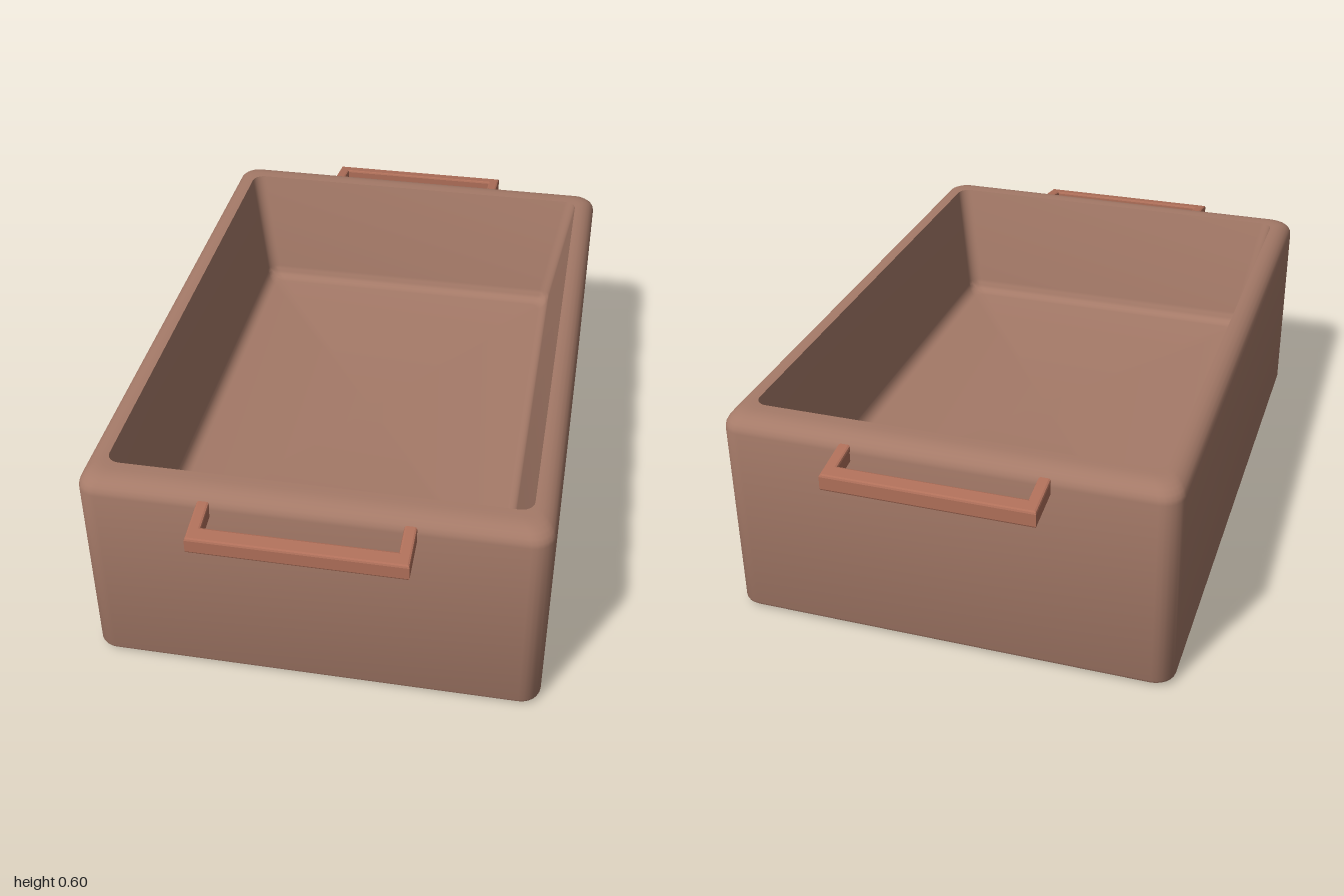
import * as THREE from 'three';
import { toCreasedNormals } from 'three/addons/utils/BufferGeometryUtils.js';

const CORNER_STEPS = 6;

// Outline of a rounded rectangle lying flat at height y
function ring({ hx, hz, r, y }) {
  const points = [];
  [[1, 1], [-1, 1], [-1, -1], [1, -1]].forEach(([sx, sz], q) => {
    for (let i = 0; i <= CORNER_STEPS; i++) {
      const a = (q + i / CORNER_STEPS) * Math.PI / 2;
      points.push([sx * (hx - r) + r * Math.cos(a), y, sz * (hz - r) + r * Math.sin(a)]);
    }
  });
  return points;
}

// Quarter-round run of sections between two sections; bulge 'out' first or 'up' first
function roundOver(from, to, upFirst, steps = 6) {
  return Array.from({ length: steps + 1 }, (_, i) => {
    const a = (i / steps) * Math.PI / 2;
    const s = Math.sin(a), c = 1 - Math.cos(a);
    const side = upFirst ? c : s, rise = upFirst ? s : c;
    const mix = (k, t) => from[k] + (to[k] - from[k]) * t;
    return { hx: mix('hx', side), hz: mix('hz', side), r: mix('r', side), y: mix('y', rise) };
  });
}

// Closed skin through the sections, capped at the underside and the inner floor
function loft(sections) {
  const rings = sections.map(ring);
  const n = rings[0].length, last = (rings.length - 1) * n;
  const points = rings.flat();
  const bottom = points.push([0, sections[0].y, 0]) - 1;
  const floor = points.push([0, sections.at(-1).y, 0]) - 1;
  const index = [];
  for (let j = 0; j < n; j++) {
    const k = (j + 1) % n;
    index.push(bottom, j, k, floor, last + k, last + j);
    for (let i = 0; i < last; i += n) {
      index.push(i + j, i + n + j, i + n + k, i + j, i + n + k, i + k);
    }
  }
  const geometry = new THREE.BufferGeometry();
  geometry.setAttribute('position', new THREE.Float32BufferAttribute(points.flat(), 3));
  geometry.setIndex(index);
  return toCreasedNormals(geometry, 0.6);
}

// Tub: rounded foot, straight sides, rounded rim, sloping inner walls, filleted floor
function createTub() {
  return loft([
    ...roundOver({ hx: 0.565, hz: 0.835, r: 0.03, y: 0 }, { hx: 0.61, hz: 0.885, r: 0.055, y: 0.02 }, false),
    ...roundOver({ hx: 0.61, hz: 0.885, r: 0.055, y: 0.56 }, { hx: 0.56, hz: 0.82, r: 0.04, y: 0.604 }, true),
    { hx: 0.55, hz: 0.795, r: 0.035, y: 0.604 },
    ...roundOver({ hx: 0.492, hz: 0.717, r: 0.035, y: 0.3 }, { hx: 0.46, hz: 0.68, r: 0.03, y: 0.26 }, true),
  ]);
}

// U-shaped handle with bevelled edges, drooping away from the tub
function createHandle() {
  const b = 0.006, outer = 0.28 - b, inner = 0.247 + b;
  const root = 0.855, tip = 1 - b, gap = 0.957 + b;
  const shape = new THREE.Shape([
    [-outer, root], [-inner, root], [-inner, gap], [inner, gap],
    [inner, root], [outer, root], [outer, tip], [-outer, tip],
  ].map(([x, y]) => new THREE.Vector2(x, y)));
  const geometry = new THREE.ExtrudeGeometry(shape, {
    depth: 0.034, bevelSize: b, bevelThickness: b, bevelSegments: 2,
  });
  geometry.rotateX(Math.PI / 2);
  const p = geometry.attributes.position;
  for (let i = 0; i < p.count; i++) {
    p.setY(i, p.getY(i) + 0.573 - (p.getZ(i) - 0.885) * 0.16);
  }
  geometry.computeVertexNormals();
  return geometry;
}

export function createModel() {
  const model = new THREE.Group();
  model.name = 'bakingDish';

  const tub = new THREE.Mesh(createTub(), new THREE.MeshStandardMaterial({ color: 0xa57a68 }));
  tub.name = 'tub';
  model.add(tub);

  const handleGeometry = createHandle();
  const handleMaterial = new THREE.MeshStandardMaterial({ color: 0xb0705a });
  for (const [name, turn] of [['frontHandle', 0], ['backHandle', Math.PI]]) {
    const handle = new THREE.Mesh(handleGeometry, handleMaterial);
    handle.name = name;
    handle.rotation.y = turn;
    handle.position.x = -0.006;
    model.add(handle);
  }
  return model;
}
